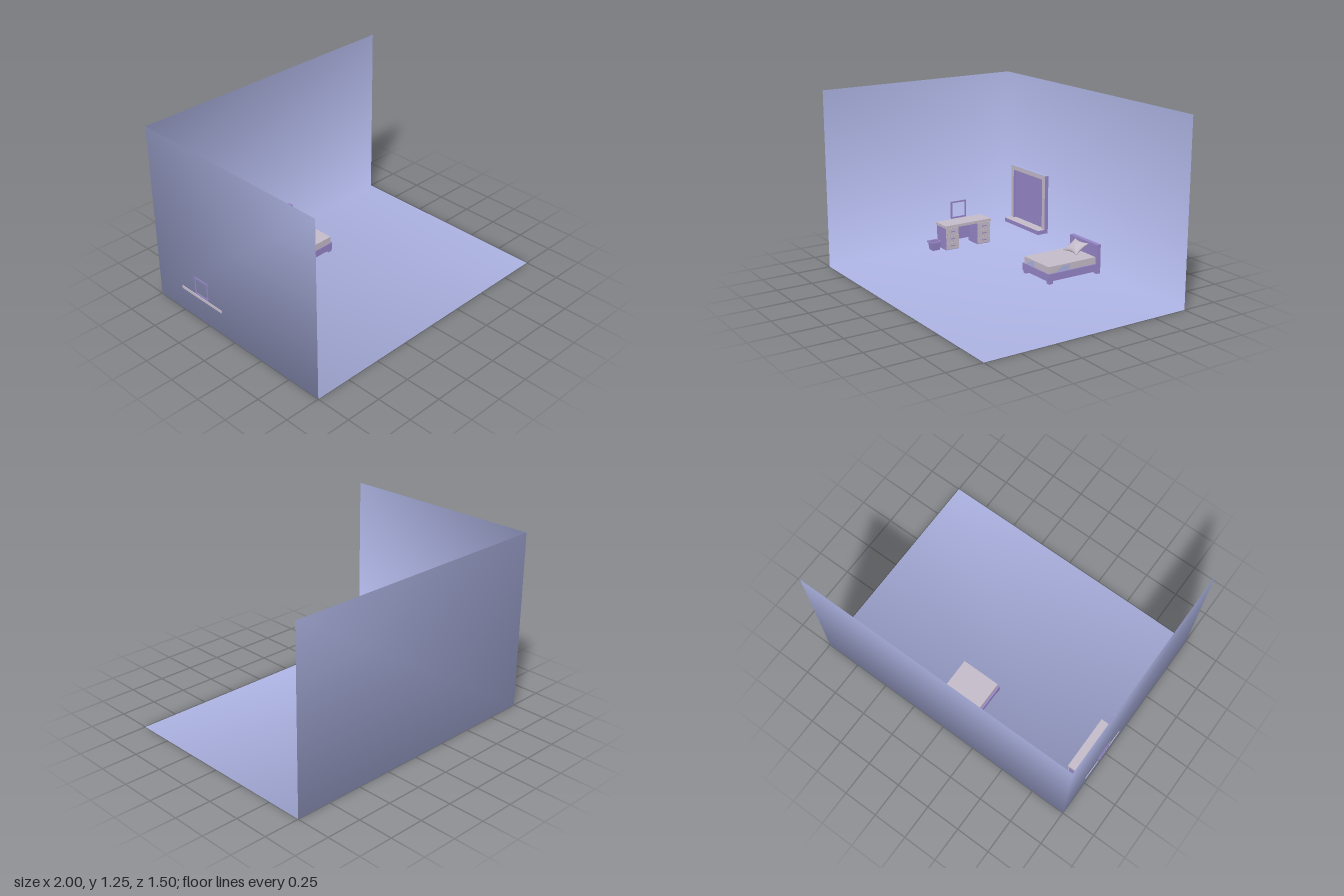
import * as THREE from 'three';

const mat = (name, color, extra = {}) => {
  const m = new THREE.MeshStandardMaterial({ color, ...extra });
  m.name = name;
  return m;
};

export function createModel() {
  const wallBlue = mat('wall blue', 0xabb1e0, { side: THREE.DoubleSide });
  const purple = mat('purple', 0x9585c6);
  const cream = mat('pale grey', 0xc4bbc9);

  const model = new THREE.Group();
  model.name = 'bedroom';
  const group = (name) => {
    const g = new THREE.Group();
    g.name = name;
    model.add(g);
    return g;
  };
  const add = (parent, name, geo, material) => {
    const m = new THREE.Mesh(geo, material);
    m.name = name;
    parent.add(m);
    return m;
  };
  // Box given by its limits on each axis
  const box = (parent, name, material, x0, x1, y0, y1, z0, z1) => {
    const m = add(parent, name, new THREE.BoxGeometry(x1 - x0, y1 - y0, z1 - z0), material);
    m.position.set((x0 + x1) / 2, (y0 + y1) / 2, (z0 + z1) / 2);
    return m;
  };
  const rect = (Type, x0, x1, y0, y1) => new Type([[x0, y0], [x1, y0], [x1, y1], [x0, y1]]
    .map(([x, y]) => new THREE.Vector2(x, y)));

  // Floor and two walls: one smooth sheet around a shared corner
  const shell = new THREE.BufferGeometry();
  shell.setAttribute('position', new THREE.Float32BufferAttribute([
    -1, 0, -0.75, 1, 0, -0.75, -1, 1.25, -0.75, -1, 0, 0.75,
    1, 1.25, -0.75, 1, 0, 0.75, -1, 1.25, 0.75], 3));
  shell.setIndex([0, 3, 5, 0, 5, 1, 0, 1, 4, 0, 4, 2, 0, 2, 6, 0, 6, 3]);
  shell.computeVertexNormals();
  add(model, 'floorAndWalls', shell, wallBlue);

  // Window: pane, three-sided frame and deep sill
  const win = group('window');
  box(win, 'pane', purple, -0.88, -0.495, 0.15, 0.54, -0.748, -0.74);
  const frame = new THREE.Shape([[-0.9, 0.16], [-0.87, 0.16], [-0.87, 0.53], [-0.505, 0.53],
    [-0.505, 0.16], [-0.47, 0.16], [-0.47, 0.56], [-0.9, 0.56]].map(([x, y]) => new THREE.Vector2(x, y)));
  add(win, 'windowFrame', new THREE.ExtrudeGeometry(frame, { depth: 0.03, bevelEnabled: false }),
    [cream, purple]).position.z = -0.748;
  box(win, 'frameTop', wallBlue, -0.9, -0.47, 0.56, 0.562, -0.748, -0.718);
  box(win, 'sill', [purple, purple, cream, purple, purple, purple],
    -0.9, -0.47, 0.13, 0.16, -0.748, -0.66);

  // Bed
  const bed = group('bed');
  box(bed, 'headboard', purple, -0.155, 0.15, 0.02, 0.208, -0.748, -0.715);
  box(bed, 'bedFrame', purple, -0.155, 0.15, 0.02, 0.072, -0.715, -0.31);
  for (const x of [-0.155, 0.118]) {
    for (const z of [-0.345, -0.745]) box(bed, 'bedLeg', purple, x, x + 0.032, 0, 0.02, z, z + 0.03);
  }
  box(bed, 'mattress', cream, -0.143, 0.14, 0.07, 0.12, -0.713, -0.316);
  // Blue patches on the mattress edges
  const patch = (pts) => new THREE.ShapeGeometry(
    new THREE.Shape(pts.map(([x, y]) => new THREE.Vector2(x, y))));
  add(bed, 'frontPatch', patch([[-0.12, 0.074], [-0.02, 0.074], [-0.02, 0.115], [-0.06, 0.11]]),
    wallBlue).position.z = -0.3155;
  const sidePatch = add(bed, 'sidePatch',
    patch([[0.38, 0.074], [0.49, 0.074], [0.49, 0.114], [0.43, 0.108]]), wallBlue);
  sidePatch.rotation.y = Math.PI / 2;
  sidePatch.position.x = 0.1405;

  // Pillow: a sphere squared off, with pinched edges and pointed corners
  const pillowGeo = new THREE.SphereGeometry(1, 32, 20);
  const p = pillowGeo.attributes.position;
  for (let i = 0; i < p.count; i++) {
    const x = p.getX(i), y = p.getY(i), z = p.getZ(i);
    const r = Math.hypot(x, z), k = r > 1e-6 ? r / Math.max(Math.abs(x), Math.abs(z)) : 1;
    const u = x * k, v = z * k;
    p.setXYZ(i, u * (0.062 + 0.014 * v * v), y * 0.024 * (1 - 0.5 * u * u * v * v),
      v * (0.05 + 0.013 * u * u));
  }
  pillowGeo.computeVertexNormals();
  const pillow = add(bed, 'pillow', pillowGeo, cream);
  pillow.position.set(-0.015, 0.163, -0.66);
  pillow.rotation.x = 0.56;

  // Desk with two drawer pedestals
  const desk = group('desk');
  box(desk, 'deskTop', cream, -1.004, -0.86, 0.167, 0.187, -0.507, -0.116);
  box(desk, 'backPanel', purple, -0.998, -0.985, 0.03, 0.167, -0.396, -0.23);
  for (const z of [-0.5, -0.228]) {
    box(desk, 'pedestal', purple, -0.998, -0.87, 0, 0.167, z, z + 0.105);
    for (const y of [0.006, 0.06, 0.114]) {
      box(desk, 'drawerFront', cream, -0.87, -0.863, y, y + 0.05, z + 0.001, z + 0.104);
      box(desk, 'drawerHandle', purple, -0.863, -0.857, y + 0.022, y + 0.028, z + 0.036, z + 0.069);
    }
  }

  // Open picture frame on the side wall
  const border = rect(THREE.Shape, 0.242, 0.372, 0.192, 0.322);
  border.holes.push(rect(THREE.Path, 0.253, 0.361, 0.203, 0.311));
  const picture = add(model, 'pictureFrame',
    new THREE.ExtrudeGeometry(border, { depth: 0.012, bevelEnabled: false }), purple);
  picture.rotation.y = Math.PI / 2;
  picture.position.x = -1.004;

  // Waste bin: tapered square tub with a rim, open at the top
  const profile = [[0, 0], [0.028, 0], [0.034, 0.052], [0.039, 0.052], [0.039, 0.065],
    [0.03, 0.065], [0.025, 0.008], [0, 0.008]]
    .map(([r, y]) => new THREE.Vector2(r * Math.SQRT2, y));
  const binGeo = new THREE.LatheGeometry(profile, 4, Math.PI / 4).toNonIndexed();
  binGeo.computeVertexNormals();
  add(model, 'wasteBin', binGeo, purple).position.set(-0.94, 0, -0.065);

  return model;
}
